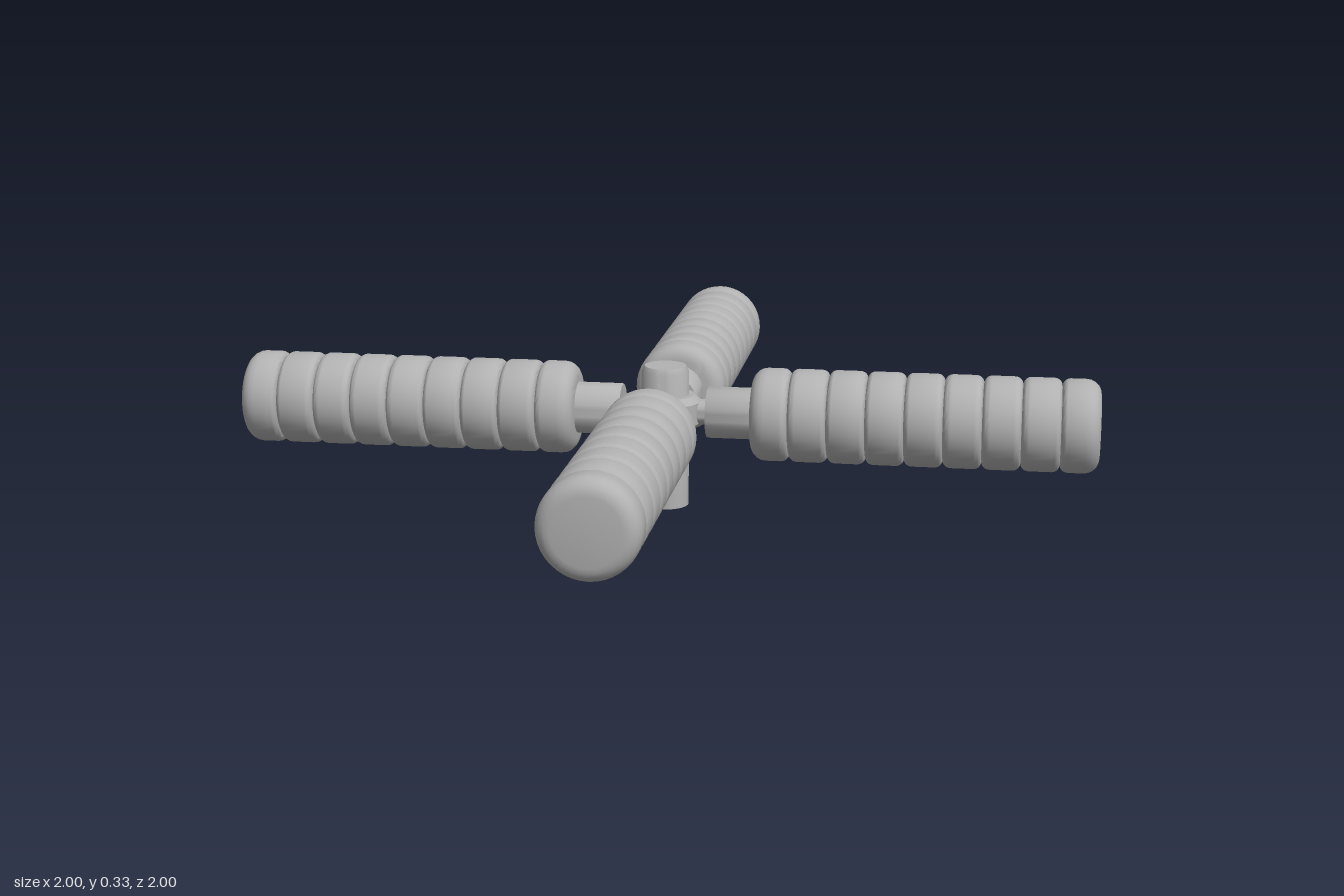
import * as THREE from 'three';
import { toCreasedNormals } from 'three/addons/utils/BufferGeometryUtils.js';

const AXIS_Y = 0.225;

// Solid of revolution with crisp edges where the profile turns sharply
function turned(name, points, material, sides = 40) {
  const profile = points.map(([r, y]) => new THREE.Vector2(r, y));
  const geometry = toCreasedNormals(new THREE.LatheGeometry(profile, sides), 0.6);
  const mesh = new THREE.Mesh(geometry, material);
  mesh.name = name;
  return mesh;
}

// Rounded disc between two heights; r0 and r1 are the corner radii at each end
function discProfile(y0, y1, radius, r0, r1) {
  const points = [[0, y0]];
  const steps = 5;
  for (let i = 0; i <= steps; i++) {
    const a = (i / steps) * Math.PI / 2;
    points.push([radius - r0 + r0 * Math.sin(a), y0 + r0 - r0 * Math.cos(a)]);
  }
  for (let i = 0; i <= steps; i++) {
    const a = (i / steps) * Math.PI / 2;
    points.push([radius - r1 + r1 * Math.cos(a), y1 - r1 + r1 * Math.sin(a)]);
  }
  points.push([0, y1]);
  return points;
}

export function createModel() {
  const model = new THREE.Group();
  model.name = 'fourArmedSpinner';
  const grey = new THREE.MeshStandardMaterial({ color: 0xb2b2b2 });
  grey.name = 'grey';

  // Upright post with a bevelled cap
  model.add(turned('post', [
    [0, 0], [0.055, 0], [0.055, 0.32], [0.048, 0.333], [0, 0.333],
  ], grey));

  // Collar around the post
  model.add(turned('collar', [
    [0.05, 0.185], [0.066, 0.185], [0.083, 0.2], [0.083, 0.25],
    [0.068, 0.265], [0.05, 0.265],
  ], grey));

  // Four ribbed arms, each on a stub and socket
  const count = 9, start = 0.205, pitch = (1 - start) / count;
  for (let k = 0; k < 4; k++) {
    const arm = new THREE.Group();
    arm.name = 'arm' + (k + 1);

    arm.add(turned('stub', [[0, 0.04], [0.03, 0.04], [0.03, 0.12], [0, 0.12]], grey, 24));
    arm.add(turned('socket', [
      [0, 0.1], [0.058, 0.1], [0.06, 0.104], [0.06, 0.225], [0, 0.225],
    ], grey));

    for (let i = 0; i < count; i++) {
      const y0 = start + i * pitch;
      const inner = i === 0 ? 0.035 : 0.018;
      const outer = i === count - 1 ? 0.035 : 0.018;
      arm.add(turned('rib' + (i + 1), discProfile(y0, y0 + pitch, 0.108, inner, outer), grey));
    }

    // Lay the arm down and swing it around the post
    arm.rotation.set(0, k * Math.PI / 2, -Math.PI / 2);
    arm.position.y = AXIS_Y;
    arm.rotation.order = 'YXZ';
    model.add(arm);
  }
  return model;
}
